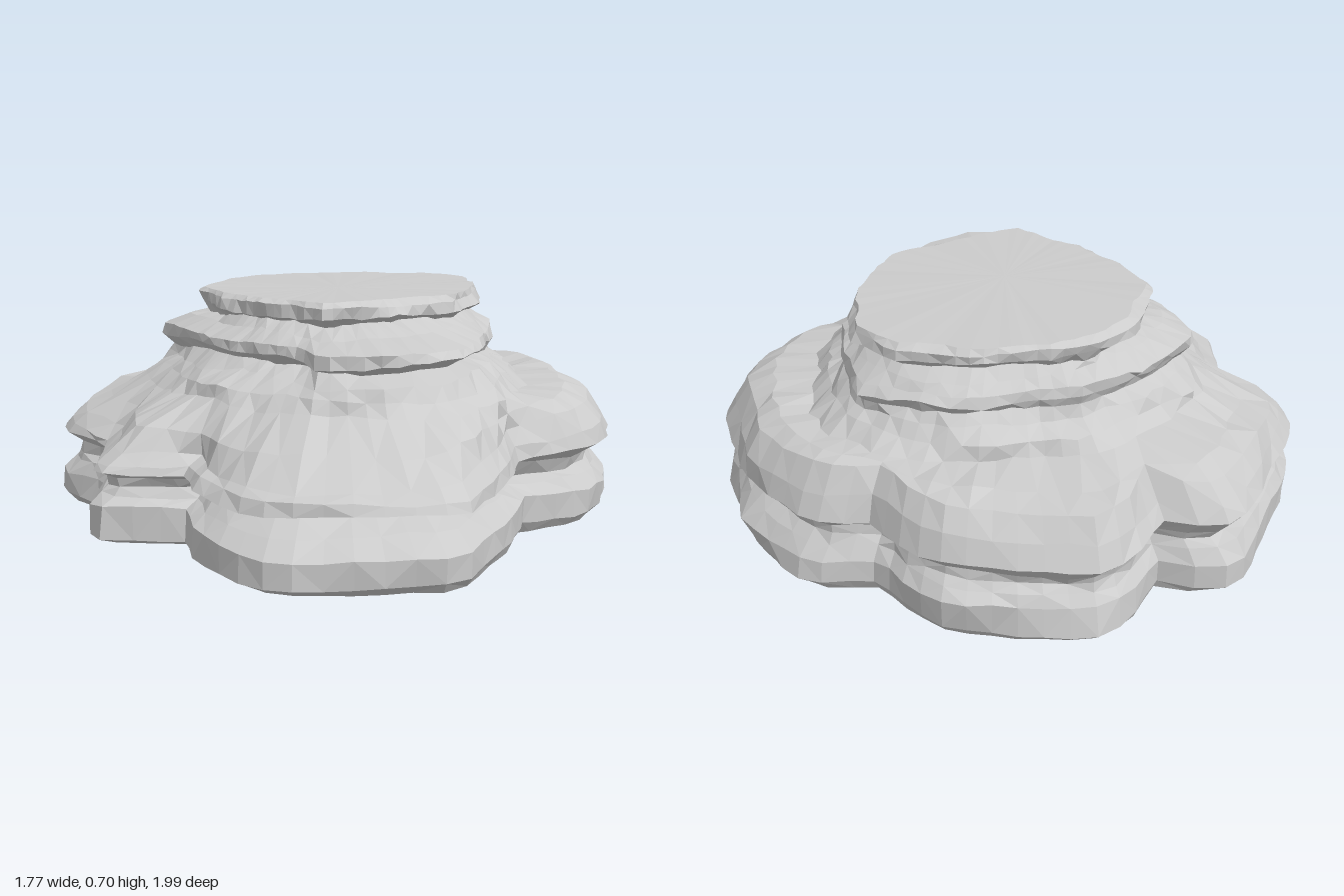
import * as THREE from 'three';

const SIDES = 80, CZ = -0.05;

// Plan outlines as x, z pairs, running from the back clockwise seen from above
const base = [-0.1, -1, 0.1, -0.97, 0.33, -0.9, 0.42, -0.8, 0.5, -0.65, 0.68, -0.6, 0.76, -0.5, 0.85, -0.33,
  0.87, -0.1, 0.89, 0.05, 0.8, 0.27, 0.69, 0.4, 0.46, 0.48, 0.38, 0.65, 0.27, 0.8, 0.13, 1, -0.1, 0.98,
  -0.36, 0.93, -0.47, 0.8, -0.54, 0.6, -0.54, 0.42, -0.82, 0.34, -0.77, 0, -0.89, -0.22, -0.83, -0.42,
  -0.7, -0.62, -0.52, -0.85, -0.4, -0.84, -0.33, -0.77, -0.2, -0.93];
const waist = [-0.16, -0.68, 0.2, -0.66, 0.45, -0.55, 0.6, -0.4, 0.63, -0.1, 0.58, 0.15, 0.42, 0.4, 0.2, 0.62,
  0, 0.66, -0.25, 0.6, -0.45, 0.35, -0.57, 0.1, -0.6, -0.2, -0.55, -0.4, -0.4, -0.55];
const ledge = [-0.1, -0.58, 0.25, -0.57, 0.5, -0.42, 0.54, -0.2, 0.49, 0.05, 0.35, 0.35, 0.28, 0.46, 0.16, 0.55,
  -0.02, 0.6, -0.18, 0.55, -0.2, 0.38, -0.42, 0.1, -0.5, -0.1, -0.55, -0.3, -0.35, -0.48];
const crown = [-0.05, -0.54, 0.2, -0.52, 0.4, -0.44, 0.5, -0.3, 0.48, -0.1, 0.42, 0.08, 0.3, 0.22, 0.1, 0.3,
  -0.12, 0.33, -0.25, 0.2, -0.4, 0, -0.43, -0.2, -0.33, -0.4, -0.2, -0.5];

// Distance from the centre to an outline along a direction
function reach(outline, c, s) {
  const n = outline.length / 2;
  let best = 0;
  for (let i = 0; i < n; i++) {
    const j = (i + 1) % n;
    const ax = outline[2 * i], az = outline[2 * i + 1] - CZ;
    const ex = outline[2 * j] - ax, ez = outline[2 * j + 1] - CZ - az;
    const d = c * ez - s * ex;
    if (Math.abs(d) < 1e-9) continue;
    const t = (ax * ez - az * ex) / d, u = (ax * s - az * c) / d;
    if (t > 0 && u >= -1e-6 && u <= 1 + 1e-6) best = Math.max(best, t);
  }
  return best;
}

// Repeatable noise, blended between coarse cells around the rock
function hash(a, b) {
  const v = Math.sin(a * 127.1 + b * 311.7) * 43758.5453;
  return (v - Math.floor(v)) * 2 - 1;
}
function chips(i, k) {
  const cell = Math.floor(i / 4), f = (i % 4) / 4, cells = SIDES / 4;
  return hash(cell, k) * (1 - f) + hash((cell + 1) % cells, k) * f + 0.35 * hash(i, k + 50);
}

// One stratum ring: blend of two outlines, inset, height, height tilt and extra inset at the front
function ring(k, { from, to = from, mix = 0, inset = 0, y, tilt = 0, front = 0, rough = 0.015, lift = 0.01 }) {
  const points = [];
  for (let i = 0; i < SIDES; i++) {
    const a = (i / SIDES) * Math.PI * 2, c = Math.cos(a), s = Math.sin(a);
    const r = THREE.MathUtils.lerp(reach(from, c, s), reach(to, c, s), mix)
      - inset - front * Math.pow(Math.max(0, s), 4) + rough * (chips(i, k) - 0.4);
    points.push(new THREE.Vector3(c * r, y + tilt * (0.04 * c - 0.05 * s) + lift * chips(i, k + 9), CZ + s * r));
  }
  return points;
}

// Skin between successive rings, with optional flat caps
function skin(name, rings, { bottom, top } = {}) {
  const pos = [];
  const tri = (...p) => p.forEach(v => pos.push(v.x, v.y, v.z));
  for (let k = 0; k + 1 < rings.length; k++) {
    for (let i = 0; i < SIDES; i++) {
      const j = (i + 1) % SIDES, lo = rings[k], hi = rings[k + 1];
      if ((i + k) % 2) {
        tri(lo[i], hi[i], lo[j]); tri(hi[i], hi[j], lo[j]);
      } else {
        tri(lo[i], hi[i], hi[j]); tri(lo[i], hi[j], lo[j]);
      }
    }
  }
  const first = rings[0], last = rings[rings.length - 1];
  for (let i = 0; i < SIDES; i++) {
    const j = (i + 1) % SIDES;
    if (bottom) tri(bottom, first[i], first[j]);
    if (top) tri(top, last[j], last[i]);
  }
  const geometry = new THREE.BufferGeometry();
  geometry.setAttribute('position', new THREE.Float32BufferAttribute(pos, 3));
  geometry.computeVertexNormals();
  const mesh = new THREE.Mesh(geometry, new THREE.MeshStandardMaterial({ color: 0xcccccc, flatShading: true }));
  mesh.name = name;
  return mesh;
}

export function createModel() {
  const strata = [
    // Broad foot with a deep groove between two layers
    { from: base, inset: 0.03, y: 0.008, lift: 0.005 },
    { from: base, inset: 0.0, y: 0.035 },
    { from: base, inset: 0.0, y: 0.115, lift: 0.016 },
    { from: base, inset: 0.035, y: 0.15, front: 0.04 },
    { from: base, inset: 0.06, y: 0.175, front: 0.12 },
    { from: base, inset: 0.05, y: 0.205, front: 0.09 },
    { from: base, inset: 0.005, y: 0.235, lift: 0.016, tilt: 0.3 },
    { from: base, inset: 0.025, y: 0.285, tilt: 0.6, lift: 0.015 },
    { from: base, inset: 0.07, y: 0.34, tilt: 1, lift: 0.015 },
    // Sloping terrace
    { from: base, to: waist, mix: 0.5, y: 0.375, tilt: 0.6, rough: 0.03, lift: 0.015 },
    { from: waist, y: 0.41, rough: 0.03, lift: 0.012 },
    // Waist wall, undercut below the ledge
    { from: waist, to: ledge, mix: 0.4, y: 0.45, rough: 0.025 },
    { from: waist, to: ledge, mix: 0.7, inset: 0.02, y: 0.485, rough: 0.025 },
    { from: ledge, inset: 0.02, y: 0.515, front: 0.1 },
    { from: ledge, y: 0.545 },
    { from: ledge, inset: 0.01, y: 0.575 },
    // Step up to the crown slab
    { from: ledge, to: crown, mix: 0.6, inset: 0.02, y: 0.605 },
    { from: crown, inset: 0.025, y: 0.63 },
    { from: crown, inset: -0.005, y: 0.65 },
    { from: crown, inset: 0.0, y: 0.685, lift: 0.006 },
    { from: crown, inset: 0.02, y: 0.7, lift: 0.002 },
  ].map((s, k) => ring(k, s));

  const group = new THREE.Group();
  group.name = 'layeredRock';
  group.add(
    skin('footStrata', strata.slice(0, 9), { bottom: new THREE.Vector3(0, 0.012, CZ) }),
    skin('terrace', strata.slice(8, 11)),
    skin('waistAndLedge', strata.slice(10, 16)),
    skin('crownSlab', strata.slice(15), { top: new THREE.Vector3(0, 0.702, CZ) }),
  );
  return group;
}
